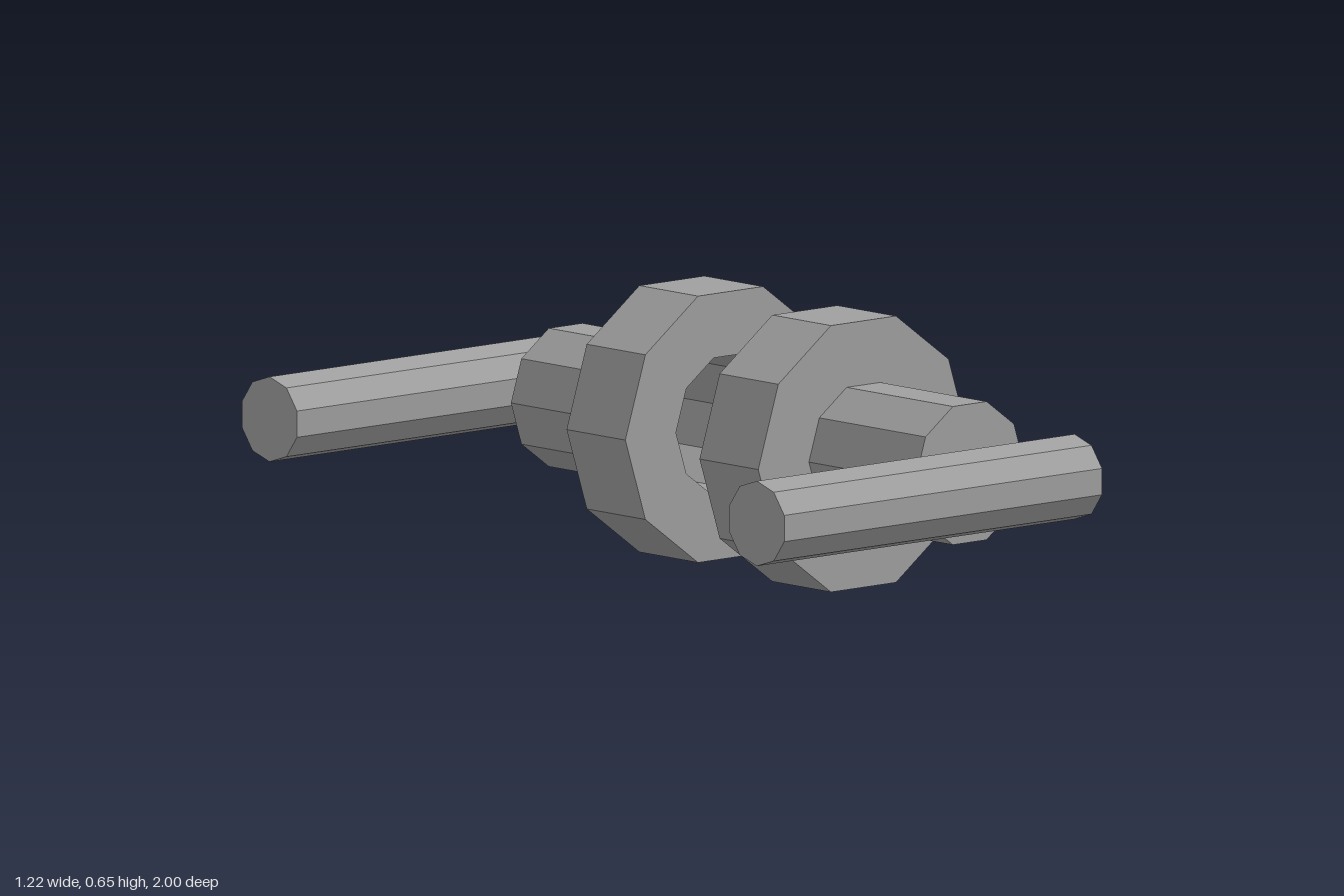
import * as THREE from 'three';

const SIDES = 10;

export function createModel() {
  const model = new THREE.Group();
  model.name = 'handleSet';
  const metal = new THREE.MeshStandardMaterial({ color: 0x9f9f9f, flatShading: true, side: THREE.DoubleSide });
  metal.name = 'grey metal';

  const add = (parent, name, geometry, x, y, z) => {
    const mesh = new THREE.Mesh(geometry, metal);
    mesh.name = name;
    mesh.position.set(x, y, z);
    parent.add(mesh);
  };

  // Hollow hub: bore, flange rim, neck and closed outer end
  const profile = [
    [0.177, 0.373], [0.177, 0.163], [0.341, 0.163], [0.341, 0.373],
    [0.177, 0.373], [0.177, 0.753], [0, 0.753],
  ].map(([r, h]) => new THREE.Vector2(r, h));

  // One handle on each side, slightly offset from the other
  const handles = [
    { name: 'frontHandle', side: 1, x: 0.215, barY: 0.312 },
    { name: 'backHandle', side: -1, x: 0.27, barY: 0.339 },
  ];
  for (const { name, side, x, barY } of handles) {
    const handle = new THREE.Group();
    handle.name = name;

    const hub = new THREE.LatheGeometry(profile, SIDES, Math.PI / 2).rotateX(side * Math.PI / 2);
    add(handle, 'flangedHub', hub, x, 0.325, 0);

    // Flat pin joining hub and grip
    add(handle, 'pin', new THREE.BoxGeometry(0.115, 0.043, 0.08), x + 0.002, barY, side * 0.785);

    // Grip bar along x
    const bar = new THREE.CylinderGeometry(0.1035, 0.1035, 1.03, SIDES, 1, false, Math.PI / 2)
      .rotateZ(Math.PI / 2);
    add(handle, 'gripBar', bar, x - 0.31, barY, side * 0.9015);
    model.add(handle);
  }
  return model;
}
